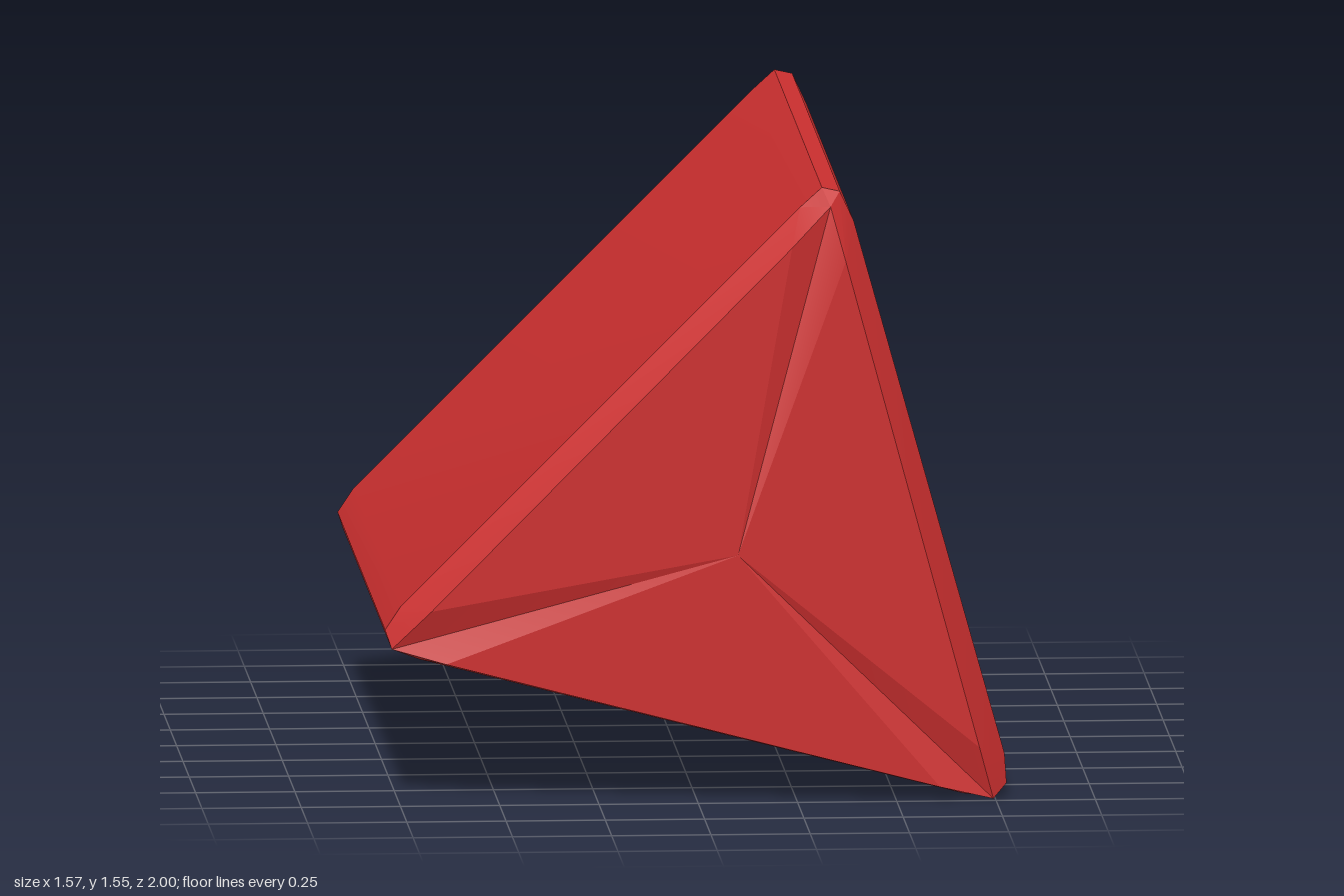
import * as THREE from 'three';
import { toCreasedNormals } from 'three/addons/utils/BufferGeometryUtils.js';

const V = (x, y, z) => new THREE.Vector3(x, y, z);

// Joins consecutive rings of equal length, dropping collapsed triangles.
function loft(rings) {
  const pos = [];
  const tri = (a, b, c) => {
    const area = b.clone().sub(a).cross(c.clone().sub(a)).length();
    if (area > 1e-7) for (const p of [a, b, c]) pos.push(p.x, p.y, p.z);
  };
  for (let r = 0; r + 1 < rings.length; r++) {
    const a = rings[r], b = rings[r + 1], n = a.length;
    for (let i = 0; i < n; i++) {
      const j = (i + 1) % n;
      tri(a[i], b[i], b[j]);
      tri(a[i], b[j], a[j]);
    }
  }
  const g = new THREE.BufferGeometry();
  g.setAttribute('position', new THREE.Float32BufferAttribute(pos, 3));
  return toCreasedNormals(g, 0.3);
}

export function createModel() {
  const group = new THREE.Group();
  const canvas = new THREE.MeshStandardMaterial({ color: 0xcb2f2f, side: THREE.DoubleSide });
  canvas.name = 'red canvas';
  const wood = new THREE.MeshStandardMaterial({ color: 0x8f5f3f });
  wood.name = 'brown wood';
  const add = (name, geo, mat) => {
    const m = new THREE.Mesh(geo, mat);
    m.name = name;
    group.add(m);
    return m;
  };

  // Rounded outer cross-section: four points for each corner (left, top, right)
  const outline = [
    [-0.70, 0.365], [-0.77, 0.395], [-0.785, 0.44], [-0.745, 0.50],
    [0.26, 1.505], [0.315, 1.555], [0.36, 1.545], [0.395, 1.47],
    [0.775, 0.11], [0.78, 0.035], [0.75, 0.0], [0.67, 0.01],
  ];
  const outer = z => outline.map(([x, y]) => V(x, y, z));

  // Matching triangular ring; its corners may sit at a different depth
  const triangle = (corners, z, cornerZ = z) => {
    const ring = [];
    corners.forEach(([x, y], k) => {
      const c = V(x, y, cornerZ);
      const near = ([tx, ty]) => {
        const d = V(tx - x, ty - y, 0).normalize().multiplyScalar(0.14);
        return V(x + d.x, y + d.y, z);
      };
      ring.push(near(corners[(k + 2) % 3]), c, c.clone(), near(corners[(k + 1) % 3]));
    });
    return ring;
  };
  const face = [[-0.77, 0.395], [0.335, 1.51], [0.745, 0.0]];
  const inside = [[-0.738, 0.387], [0.315, 1.44], [0.715, 0.011]];
  const centre = z => outline.map(() => V(0.1, 0.63, z));

  // Tent shell: inner end wall, inner sides, rear rim, outer sides, closed front
  add('tentShell', loft([
    centre(0.92),
    triangle(inside, 0.92),
    triangle(inside, -0.94),
    triangle(face, -1, -0.97),
    outer(-0.94),
    outer(0.94),
    triangle(face, 1, 0.97),
    centre(1),
  ]), canvas);

  // Door flaps folded back against the inner walls
  const flap = (name, foot, inner) => {
    const g = new THREE.BufferGeometry().setFromPoints([V(0.31, 1.4, -0.92), foot, inner]);
    g.computeVertexNormals();
    add(name, g, canvas);
  };
  flap('leftDoorFlap', V(0.70, 0.03, -0.93), V(0.665, 0.035, -0.6));
  flap('rightDoorFlap', V(-0.71, 0.395, -0.93), V(-0.66, 0.38, -0.6));

  // Pole in the doorway, leaning with the tent
  const foot = V(-0.005, 0.178, -0.88), top = V(0.315, 1.40, -0.88);
  const pole = add('pole', new THREE.CylinderGeometry(0.045, 0.052, foot.distanceTo(top), 10), wood);
  pole.position.copy(foot).lerp(top, 0.5);
  pole.quaternion.setFromUnitVectors(V(0, 1, 0), top.clone().sub(foot).normalize());

  return group;
}
